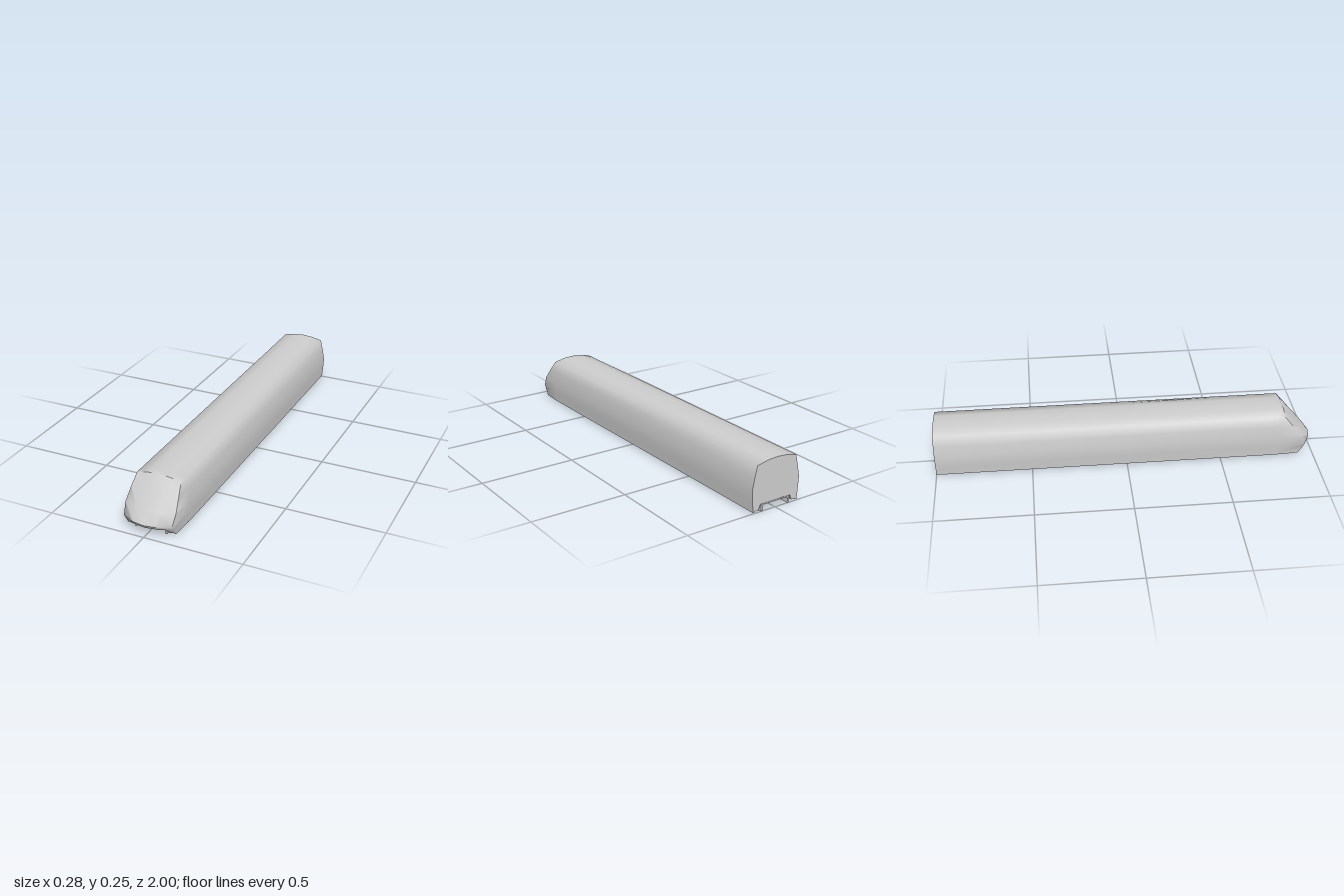
import * as THREE from 'three';
import { toCreasedNormals } from 'three/addons/utils/BufferGeometryUtils.js';

// Half outline from roof centre round to underside centre: body x, y, then nose x, y, z
const HALF = [
  [0, 0.252, 0, 0.252, 0.838],
  [0.055, 0.248, 0.055, 0.248, 0.838],
  [0.115, 0.235, 0.115, 0.235, 0.836],
  [0.128, 0.18, 0.124, 0.18, 0.88],
  [0.14, 0.12, 0.132, 0.12, 0.925],
  [0.137, 0.065, 0.126, 0.065, 0.955],
  [0.135, 0.045, 0.126, 0.045, 0.945],
  [0.132, 0.005, 0.127, 0.006, 0.92],
  [0.124, 0.005, 0.12, 0.006, 0.92],
  [0.122, 0.01, 0.118, 0.011, 0.925],
  [0.1, 0.01, 0.099, 0.011, 0.93],
  [0.088, 0.038, 0.09, 0.038, 0.955],
  [0, 0.038, 0, 0.038, 0.965],
];
// Nose face rows: outline index and z on the centre line
const ROWS = [[2, 0.838], [3, 0.9], [4, 0.952], [5, 1], [6, 0.985], [11, 0.965]];
const COLUMNS = [-1, -0.478, 0, 0.478, 1];

const mirror = ([x, y, z]) => [-x, y, z];
const ring = (half) => [...half, ...half.slice(1, -1).reverse().map(mirror)];

function bodyGeometry() {
  const pos = [];
  const tri = (...pts) => pts.forEach((p) => pos.push(...p.map((v) => v * 100)));
  const quad = (a, b, c, d) => { tri(a, b, c); tri(a, c, d); };
  // flat cap over an outline, facing +z or -z
  const cap = (pts, facing) => {
    const flat = pts.map(([x, y]) => new THREE.Vector2(x, y));
    for (const [i, j, k] of THREE.ShapeUtils.triangulateShape(flat, [])) {
      const front = THREE.ShapeUtils.area([flat[i], flat[j], flat[k]]) * facing > 0;
      if (front) tri(pts[i], pts[j], pts[k]);
      else tri(pts[i], pts[k], pts[j]);
    }
  };

  // long shell, tapering towards the nose
  const section = (z) => ring(HALF.map(([x, y]) => [x, y, z]));
  const rings = [section(-1), section(0.8), ring(HALF.map((p) => p.slice(2)))];
  for (let r = 0; r < 2; r++) {
    const back = rings[r], front = rings[r + 1], n = back.length;
    for (let i = 0; i < n; i++) {
      const j = (i + 1) % n;
      quad(back[i], front[i], front[j], back[j]);
    }
  }
  cap(rings[0], -1);

  // bowed sloping nose face
  const grid = ROWS.map(([index, zMid], r) => {
    const [ex, ey, ez] = HALF[index].slice(2);
    return COLUMNS.map((u) => [u * ex, ey + (r ? 0 : 0.017 * (1 - u * u)), zMid - (zMid - ez) * u * u]);
  });
  for (let r = 0; r < grid.length - 1; r++) {
    for (let c = 0; c < COLUMNS.length - 1; c++) {
      quad(grid[r][c], grid[r + 1][c], grid[r + 1][c + 1], grid[r][c + 1]);
    }
  }

  // front ends of the side skirts
  const skirt = HALF.slice(6, 12).map((p) => p.slice(2));
  cap(skirt, 1);
  cap(skirt.map(mirror), 1);

  const geo = new THREE.BufferGeometry();
  geo.setAttribute('position', new THREE.Float32BufferAttribute(pos, 3));
  // creased at a larger scale so that close vertices stay distinct
  return toCreasedNormals(geo, 1.2).scale(0.01, 0.01, 0.01);
}

export function createModel() {
  const group = new THREE.Group();
  group.name = 'railCar';
  const material = new THREE.MeshStandardMaterial({ color: 0xcccccc });
  const add = (name, geometry, x = 0, y = 0, z = 0) => {
    const mesh = new THREE.Mesh(geometry, material);
    mesh.name = name;
    mesh.position.set(x, y, z);
    group.add(mesh);
  };

  add('bodyShell', bodyGeometry());

  // underframe: floor plate with a hanging rail on each side
  const length = 1.93, midZ = -0.035;
  add('underframePlate', new THREE.BoxGeometry(0.17, 0.006, length), 0, 0.034, midZ);
  for (const side of [-1, 1]) {
    add(side > 0 ? 'leftRail' : 'rightRail', new THREE.BoxGeometry(0.01, 0.033, length), side * 0.08, 0.0165, midZ);
  }
  return group;
}
